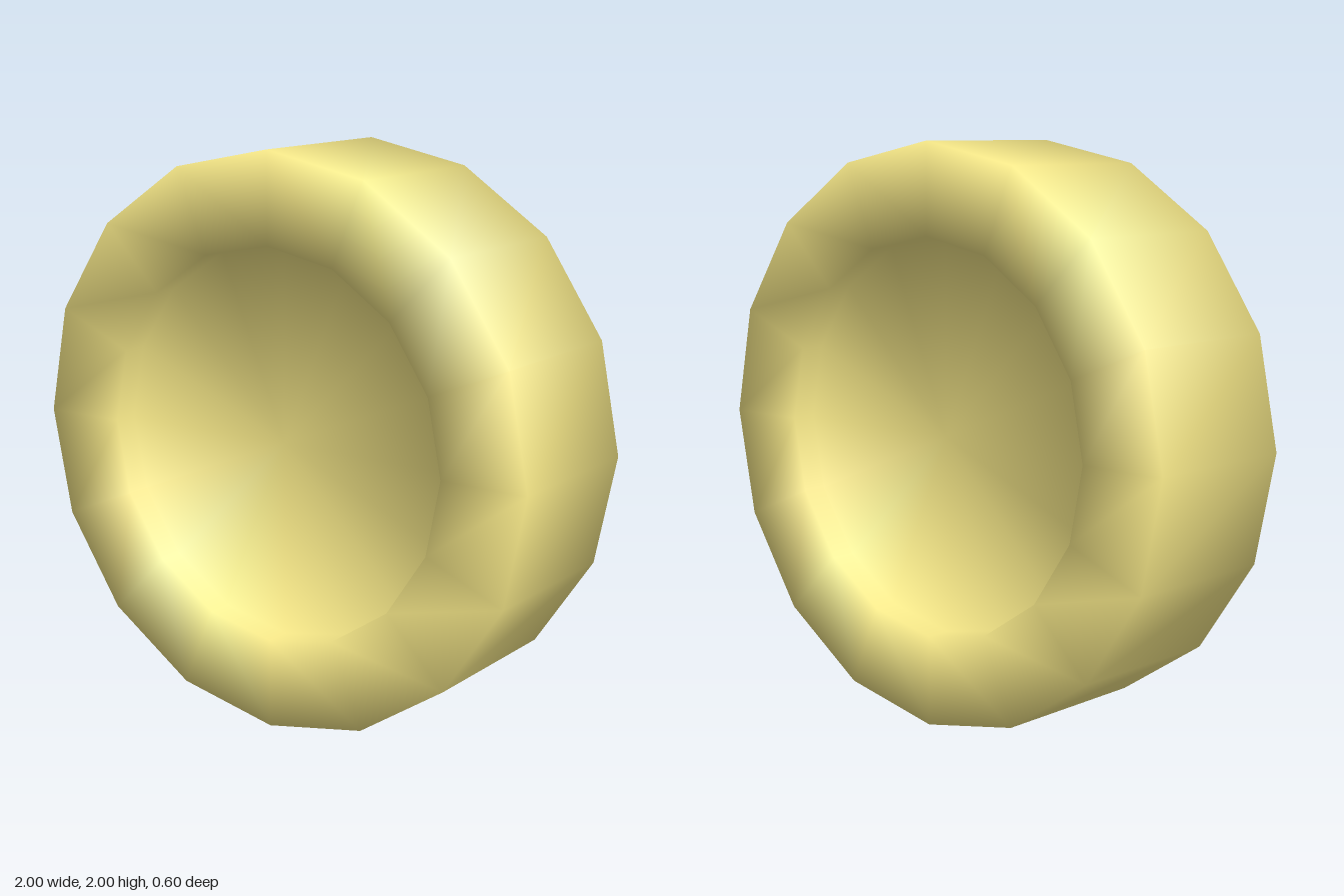
import * as THREE from 'three';

const SIDES = 16;
const OUTER = 1, INNER = 0.685; // radii of rim and recess
const HALF = 0.3, FLOOR = 0.21; // half thickness at the rim and at the recessed floor

export function createModel() {
  const group = new THREE.Group();
  group.name = 'dishedWheel';

  // Half section, back to front: [radius, depth, radial normal, axial normal]
  const back = [
    [0, -FLOOR, 0, -1],
    [INNER, -FLOOR, -1, -1],
    [INNER, -HALF, -1, -1],
    [OUTER, -HALF, 1, -1],
  ];
  const front = back.map(([r, z, nr, nz]) => [r, -z, nr, -nz]).reverse();
  const profile = [...back, ...front];
  const geometry = new THREE.LatheGeometry(
    profile.map(([r, z]) => new THREE.Vector2(r, z)), SIDES);

  // Soft shading rolls over every corner of the section
  const normals = geometry.attributes.normal;
  const n = new THREE.Vector3();
  for (let i = 0; i < normals.count; i++) {
    const [, , nr, nz] = profile[i % profile.length];
    const phi = Math.floor(i / profile.length) / SIDES * Math.PI * 2;
    n.set(nr * Math.sin(phi), nz, nr * Math.cos(phi)).normalize();
    normals.setXYZ(i, n.x, n.y, n.z);
  }

  // Stand the wheel upright on the ground
  geometry.rotateX(Math.PI / 2);
  geometry.translate(0, 1, 0);
  const wheel = new THREE.Mesh(geometry, new THREE.MeshStandardMaterial({ color: 0xfff08d }));
  wheel.name = 'wheelWithRecessedFaces';
  group.add(wheel);
  return group;
}
